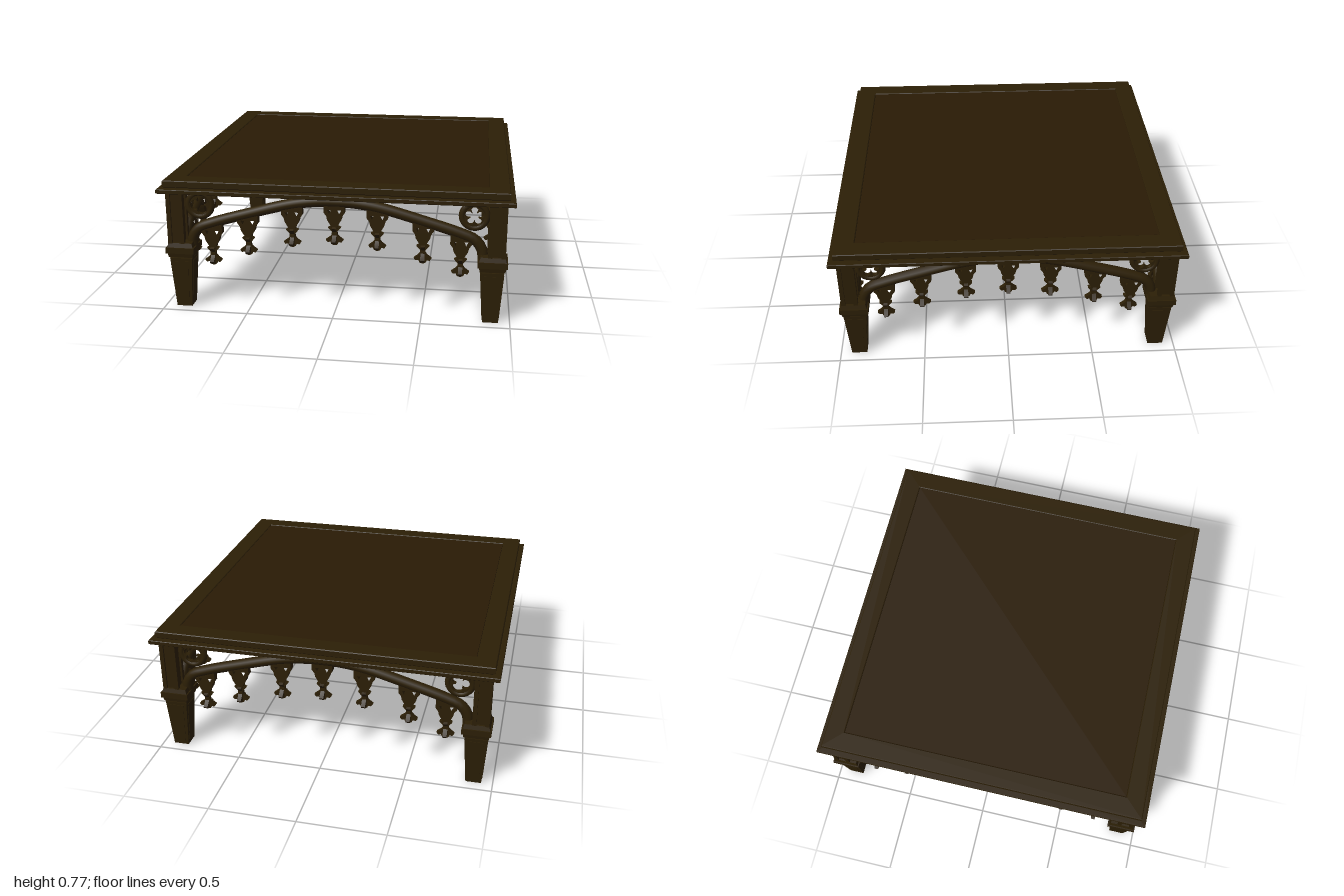
import * as THREE from 'three';
import { mergeGeometries, toCreasedNormals } from 'three/addons/utils/BufferGeometryUtils.js';

const frameWood = new THREE.MeshStandardMaterial({ color: 0x2c1f06 });
frameWood.name = 'frame wood';
const panelWood = new THREE.MeshStandardMaterial({ color: 0x2a1b05 });
panelWood.name = 'panel wood';
const undersideWood = new THREE.MeshStandardMaterial({ color: 0x573a2a });
undersideWood.name = 'underside wood';

function add(parent, name, geometry, material, x = 0, y = 0, z = 0) {
  const mesh = new THREE.Mesh(geometry, material);
  mesh.name = name;
  mesh.position.set(x, y, z);
  parent.add(mesh);
  return mesh;
}

// Box between y0 and y1 whose half sizes differ at bottom and top
function taperedBox(y0, y1, bx, bz, tx = bx, tz = bz) {
  const g = new THREE.BoxGeometry(2, y1 - y0, 2).translate(0, (y0 + y1) / 2, 0);
  const p = g.attributes.position;
  for (let i = 0; i < p.count; i++) {
    const top = p.getY(i) > (y0 + y1) / 2;
    p.setX(i, p.getX(i) * (top ? tx : bx));
    p.setZ(i, p.getZ(i) * (top ? tz : bz));
  }
  g.computeVertexNormals();
  return g;
}

// Square frame lying flat, with a small bevel
function squareFrame(outer, inner, y0, y1, bevel) {
  const square = (r, Type) => new Type([[-r, -r], [r, -r], [r, r], [-r, r]].map(([x, y]) => new THREE.Vector2(x, y)));
  const shape = square(outer - bevel, THREE.Shape);
  shape.holes.push(square(inner + bevel, THREE.Path));
  const g = new THREE.ExtrudeGeometry(shape, {
    depth: y1 - y0 - 2 * bevel, bevelEnabled: true, bevelThickness: bevel, bevelSize: bevel, bevelSegments: 1
  });
  return g.rotateX(-Math.PI / 2).translate(0, y0 + bevel, 0);
}

function buildTop() {
  const top = new THREE.Group();
  top.name = 'tableTop';
  add(top, 'lowerMoulding', squareFrame(1, 0.85, 0.703, 0.728, 0.003), frameWood);
  add(top, 'neckMoulding', squareFrame(0.96, 0.85, 0.722, 0.738, 0.002), frameWood);
  add(top, 'topFrame', squareFrame(0.97, 0.858, 0.733, 0.773, 0.004), frameWood);
  // Panel filling the frame
  add(top, 'topPanel', taperedBox(0.71, 0.769, 0.856, 0.856), panelWood);
  add(top, 'undersidePanel', taperedBox(0.703, 0.711, 0.856, 0.856), undersideWood);
  return top;
}

function buildLeg(sx, sz) {
  const leg = new THREE.Group();
  leg.name = 'leg';
  const foot = mergeGeometries([
    taperedBox(0, 0.305, 0.045, 0.045, 0.065, 0.065),
    // raised panels on the four faces
    taperedBox(0.025, 0.285, 0.029, 0.049, 0.044, 0.0665),
    taperedBox(0.025, 0.285, 0.049, 0.029, 0.0665, 0.044),
    taperedBox(0.3, 0.325, 0.055, 0.055)
  ]);
  add(leg, 'taperedFoot', foot, frameWood);
  const collar = mergeGeometries([
    taperedBox(0.312, 0.338, 0.07, 0.07, 0.075, 0.075),
    taperedBox(0.338, 0.372, 0.083, 0.083),
    taperedBox(0.372, 0.398, 0.076, 0.076, 0.068, 0.068)
  ]);
  add(leg, 'collar', collar, frameWood);
  // Upright with corner strips
  const strips = [taperedBox(0.385, 0.71, 0.036, 0.036)];
  for (const x of [-1, 1]) for (const z of [-1, 1]) {
    strips.push(taperedBox(0.385, 0.7, 0.012, 0.012).translate(x * 0.036, 0, z * 0.036));
  }
  add(leg, 'upright', mergeGeometries(strips), frameWood, sx * 0.021, 0, sz * 0.021);
  leg.position.set(sx * 0.89, 0, sz * 0.89);
  return leg;
}

// Curved rail profile, swept along the arch
function buildArchRail() {
  const half = [[0.835, 0.36], [0.828, 0.42], [0.79, 0.475], [0.7, 0.513], [0.5, 0.573], [0.25, 0.64], [0.1, 0.662]];
  const pts = [...half.map(([x, y]) => [-x, y]), [0, 0.664], ...half.slice().reverse()];
  const curve = new THREE.CatmullRomCurve3(pts.map(([x, y]) => new THREE.Vector3(x, y, 0)));
  return new THREE.TubeGeometry(curve, 64, 0.031, 10);
}

// Disc pierced by a lobed opening
function buildTracery(lobes, angle) {
  const shape = new THREE.Shape().absarc(0, 0, 0.072, 0, Math.PI * 2);
  const hole = [];
  for (let i = 0; i < 60; i++) {
    const a = (i / 60) * Math.PI * 2;
    const r = 0.023 + 0.031 * Math.sqrt(Math.abs(Math.cos(lobes * a / 2)));
    hole.push(new THREE.Vector2(r * Math.cos(a + angle), r * Math.sin(a + angle)));
  }
  shape.holes.push(new THREE.Path(hole));
  return new THREE.ExtrudeGeometry(shape, { depth: 0.026, bevelEnabled: false, curveSegments: 24 }).translate(0, 0, -0.013);
}

function outline(points) {
  return new THREE.Shape([...points, ...points.slice().reverse().map(([x, y]) => [-x, y])].map(([x, y]) => new THREE.Vector2(x, y)));
}

// Pierced bracket above a crossed leaf finial, hanging from y = 0
function buildPendant() {
  const bracket = outline([
    [0.06, 0.02], [0.06, -0.035], [0.045, -0.055], [0.04, -0.078], [0.021, -0.11], [0.016, -0.135]
  ]);
  for (const s of [-1, 1]) {
    bracket.holes.push(new THREE.Path([[0.018, -0.02], [0.04, -0.02], [0.029, -0.042]]
      .map(([x, y]) => new THREE.Vector2(s * x, y))));
  }
  const leaf = outline([
    [0.014, -0.1], [0.018, -0.118], [0.036, -0.126], [0.026, -0.138], [0.015, -0.15], [0.016, -0.17],
    [0.028, -0.184], [0.05, -0.2], [0.04, -0.213], [0.024, -0.21], [0.018, -0.224], [0.004, -0.23]
  ]);
  const cut = (s, d) => new THREE.ExtrudeGeometry(s, { depth: d, bevelEnabled: false }).translate(0, 0, -d / 2);
  return mergeGeometries([cut(bracket, 0.042), cut(leaf, 0.024), cut(leaf, 0.024).rotateY(Math.PI / 2)]);
}

function buildSide(index) {
  const side = new THREE.Group();
  side.name = ['frontArch', 'leftArch', 'backArch', 'rightArch'][index];
  add(side, 'archRail', buildArchRail(), frameWood, 0, 0, 0.89);
  const pendant = toCreasedNormals(buildPendant(), 0.4);
  for (const [x, y] of [[0, 0.64], [0.243, 0.617], [0.5, 0.555], [0.712, 0.485]]) {
    for (const s of x ? [-1, 1] : [1]) add(side, 'pendant', pendant, frameWood, s * x, y, 0.89);
  }
  // Roundels between the rail and the uprights
  for (const s of [-1, 1]) {
    const trefoil = (index === 0 && s < 0) || (index === 2 && s > 0);
    const tracery = trefoil ? buildTracery(3, index === 0 ? Math.PI : 0) : buildTracery(5, Math.PI / 2);
    add(side, 'roundelTracery', tracery, frameWood, s * 0.78, 0.615, 0.89);
    add(side, 'roundelRing', new THREE.TorusGeometry(0.069, 0.018, 8, 32), frameWood, s * 0.78, 0.615, 0.89);
  }
  side.rotation.y = index * Math.PI / 2;
  return side;
}

export function createModel() {
  const table = new THREE.Group();
  table.name = 'table';
  table.add(buildTop());
  for (const sx of [-1, 1]) for (const sz of [-1, 1]) table.add(buildLeg(sx, sz));
  for (let i = 0; i < 4; i++) table.add(buildSide(i));
  return table;
}
